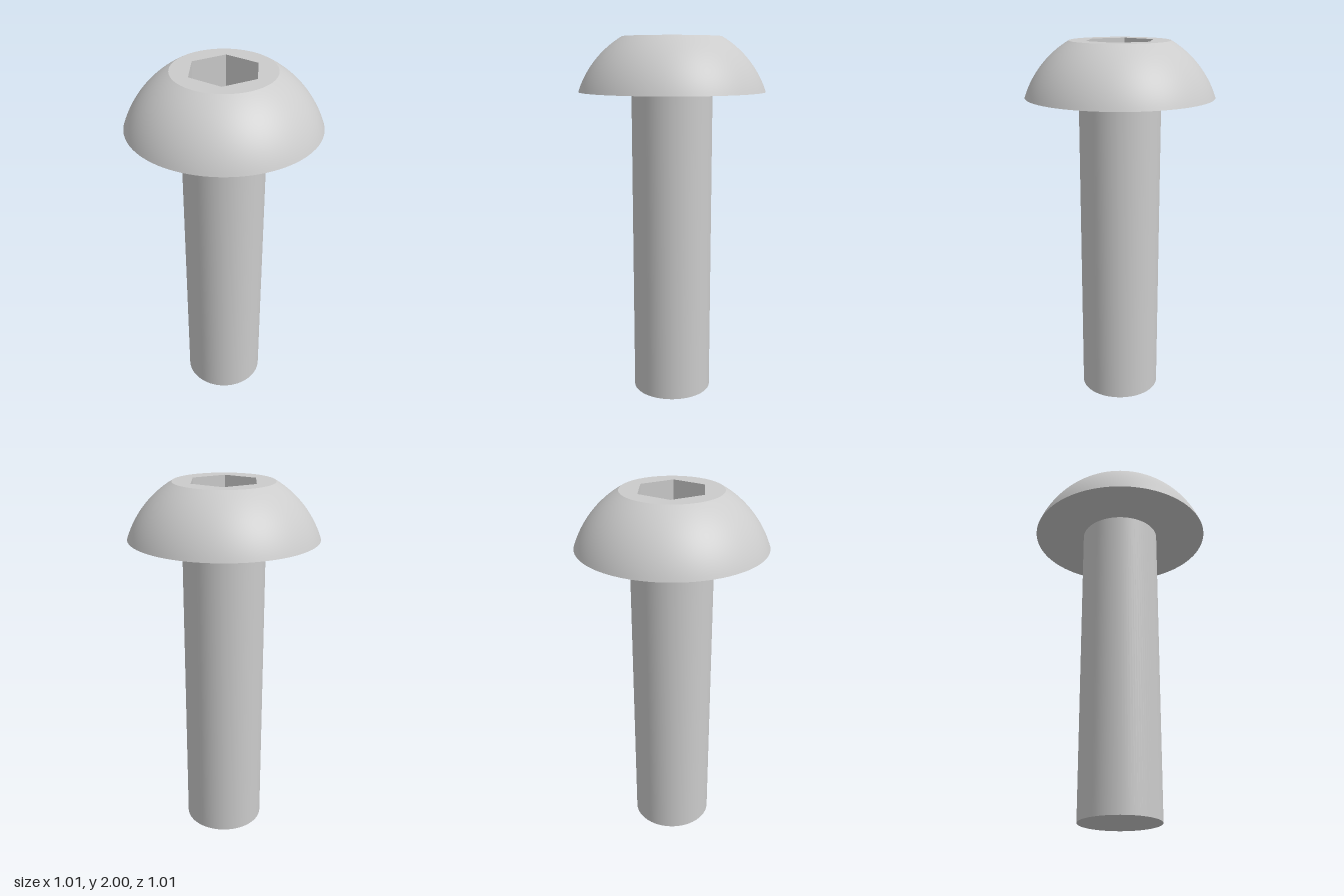
import * as THREE from 'three';

const SEGMENTS = 96;
const SHAFT_R = 0.22, HEAD_R = 0.505, FACE_R = 0.267;
const HEAD_Y = 1.71, TOP_Y = 2, HEX_R = 0.19, HEX_DEPTH = 0.18;

export function createModel() {
  const group = new THREE.Group();
  const smooth = new THREE.MeshStandardMaterial({ color: 0xcccccc });
  const flat = new THREE.MeshStandardMaterial({ color: 0xcccccc, flatShading: true });

  const add = (name, geometry, material = smooth) => {
    const mesh = new THREE.Mesh(geometry, material);
    mesh.name = name;
    group.add(mesh);
    return mesh;
  };
  const lathe = (points, segments = SEGMENTS, start = 0) =>
    new THREE.LatheGeometry(points.map(([r, y]) => new THREE.Vector2(r, y)), segments, start);

  // Plain shaft with its flat end
  add('shaft', lathe([[SHAFT_R, 0], [SHAFT_R, HEAD_Y]]));
  add('shaftEnd', lathe([[0, 0], [SHAFT_R, 0]]));

  // Flat underside of the head
  add('headUnderside', lathe([[SHAFT_R, HEAD_Y], [HEAD_R, HEAD_Y]]));

  // Domed head: a slice of a sphere centred on the axis
  const h = TOP_Y - HEAD_Y;
  const rise = (HEAD_R ** 2 - FACE_R ** 2 - h * h) / (2 * h);
  const sphereR = Math.hypot(HEAD_R, rise);
  const a0 = Math.atan2(rise, HEAD_R), a1 = Math.atan2(rise + h, FACE_R);
  const dome = [];
  for (let i = 0; i <= 20; i++) {
    const a = a0 + (a1 - a0) * i / 20;
    dome.push([sphereR * Math.cos(a), HEAD_Y - rise + sphereR * Math.sin(a)]);
  }
  add('headDome', lathe(dome));

  // Flat top face, pierced by the hexagonal opening
  const face = new THREE.Shape().absarc(0, 0, FACE_R, 0, Math.PI * 2, false);
  const corners = Array.from({ length: 6 }, (_, i) =>
    new THREE.Vector2(HEX_R * Math.cos(i * Math.PI / 3), HEX_R * Math.sin(i * Math.PI / 3)));
  face.holes.push(new THREE.Path(corners));
  add('headTopFace', new THREE.ShapeGeometry(face, SEGMENTS / 2)
    .rotateX(-Math.PI / 2).translate(0, TOP_Y, 0));

  // Hexagonal socket: walls facing inward, then the floor
  const floorY = TOP_Y - HEX_DEPTH;
  add('hexSocket', lathe([[HEX_R, TOP_Y], [HEX_R, floorY], [0, floorY]], 6, Math.PI / 2), flat);

  return group;
}
